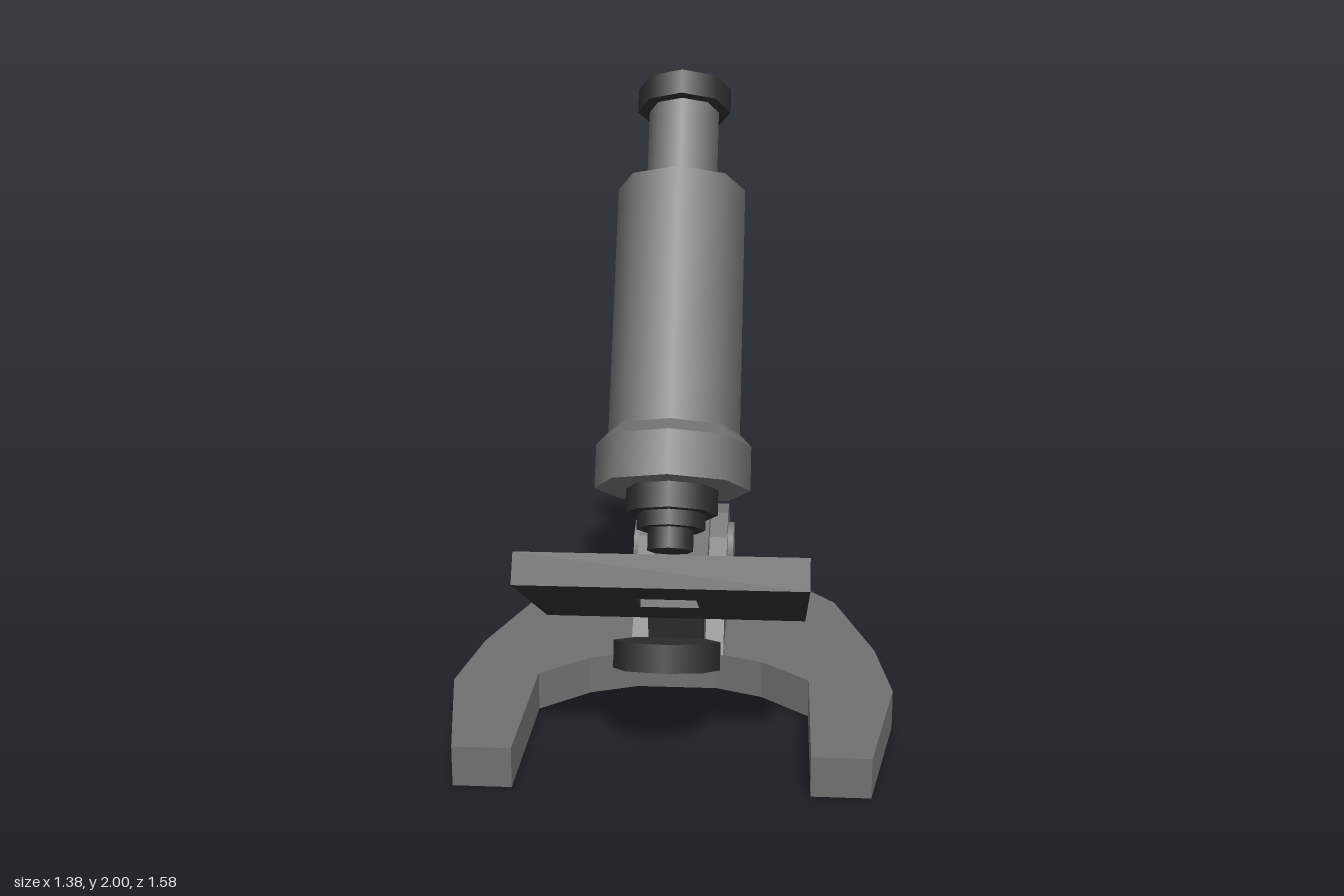
import * as THREE from 'three';

const gray = new THREE.MeshStandardMaterial({ color: 0x707070 });
gray.name = 'grayEnamel';
const dark = new THREE.MeshStandardMaterial({ color: 0x2e2e2e });
dark.name = 'darkMetal';

const TILT = -0.487; // lean of the tube and stage

function add(parent, name, geometry, material) {
  const mesh = new THREE.Mesh(geometry, material);
  mesh.name = name;
  parent.add(mesh);
  return mesh;
}

const shapeOf = (points) => new THREE.Shape(points.map(([a, b]) => new THREE.Vector2(a, b)));
const extrude = (shape, depth) => new THREE.ExtrudeGeometry(shape, { depth, bevelEnabled: false });

// Side profile in [z, y], given a width across x and centred on x
function sideSlab(points, width, x = 0) {
  return extrude(shapeOf(points), width).rotateY(-Math.PI / 2).translate(x + width / 2, 0, 0);
}

// Eight-sided bar lying across x
function crossBar(radius, width, y, z) {
  return new THREE.CylinderGeometry(radius, radius, width, 8).rotateZ(Math.PI / 2).translate(0, y, z);
}

export function createModel() {
  const model = new THREE.Group();
  model.name = 'microscope';

  // Horseshoe base, half outline in [x, z] mirrored
  const half = [
    [0.155, -0.755], [0.358, -0.654], [0.53, -0.43], [0.65, 0], [0.69, 0.32],
    [0.603, 0.785], [0.43, 0.785], [0.43, 0.255], [0.28, 0.12], [0.13, 0.06],
  ];
  const outline = [[0, -0.79], ...half, ...half.slice().reverse().map(([x, z]) => [-x, z])];
  add(model, 'base', extrude(shapeOf(outline.map(([x, z]) => [x, -z])), 0.122).rotateX(-Math.PI / 2), gray);

  // Curved limb rising from the base
  add(model, 'limb', sideSlab([
    [0.07, 0.12], [0.11, 0.27], [0.085, 0.355], [-0.05, 0.355], [-0.19, 0.42], [-0.34, 0.5],
    [-0.4, 0.625], [-0.424, 0.77], [-0.41, 0.96], [-0.36, 1.06], [-0.4, 1.22], [-0.53, 1.19],
    [-0.6, 1.11], [-0.647, 1.02], [-0.668, 0.77], [-0.63, 0.535], [-0.525, 0.335], [-0.4, 0.12],
  ], 0.18), gray);
  add(model, 'stageMount', sideSlab([
    [0.065, 0.122], [0.1, 0.27], [0.1, 0.355], [0.13, 0.28], [0.095, 0.122],
  ], 0.18), dark);

  // Pivot brackets either side of the limb, with a bolt through them
  for (const side of [1, -1]) {
    add(model, side > 0 ? 'leftBracket' : 'rightBracket', sideSlab([
      [0.07, 0.12], [-0.08, 0.27], [-0.25, 0.42], [-0.34, 0.48], [-0.43, 0.485],
      [-0.505, 0.42], [-0.54, 0.28], [-0.75, 0.12],
    ], 0.06, side * 0.122), gray);
  }
  add(model, 'pivotBolt', crossBar(0.11, 0.345, 0.33, -0.36), gray);

  // Focus block and knobs
  add(model, 'focusBlock', sideSlab([
    [-0.2, 1.51], [-0.265, 1.475], [-0.46, 1.37], [-0.47, 1.2], [-0.38, 1.0],
    [-0.3, 0.94], [-0.06, 1.066], [0.0, 1.1],
  ], 0.18), gray);
  add(model, 'coarseKnob', crossBar(0.163, 0.334, 1.27, -0.47), dark);
  add(model, 'coarseKnobCaps', crossBar(0.11, 0.37, 1.27, -0.47), gray);
  add(model, 'fineKnob', crossBar(0.108, 0.334, 0.985, -0.297), dark);
  add(model, 'fineKnobCaps', crossBar(0.052, 0.37, 0.985, -0.297), gray);

  // Leaning tube: [name, bottom, top, bottom radius, top radius, colour]
  const tube = new THREE.Group();
  tube.name = 'opticalTube';
  tube.position.set(0, 0.753, 0.286);
  tube.rotation.x = TILT;
  model.add(tube);
  const stages = [
    ['objectiveTip', -0.19, -0.1, 0.07, 0.07, dark],
    ['objectiveBarrel', -0.125, -0.05, 0.105, 0.105, dark],
    ['nosepiece', -0.078, 0.02, 0.142, 0.142, dark],
    ['collar', 0, 0.138, 0.24, 0.24, gray],
    ['collarShoulder', 0.138, 0.177, 0.24, 0.204, gray],
    ['mainTube', 0.15, 0.98, 0.204, 0.204, gray],
    ['drawTube', 0.95, 1.26, 0.113, 0.113, gray],
    ['eyepiece', 1.25, 1.33, 0.151, 0.151, dark],
  ];
  for (const [name, y0, y1, r0, r1, material] of stages) {
    const geometry = new THREE.CylinderGeometry(r1, r0, y1 - y0, 8).translate(0, (y0 + y1) / 2, 0);
    add(tube, name, geometry, material);
  }

  // Tilted stage with a square light hole
  const plate = shapeOf([[-0.418, 0], [0.418, 0], [0.418, 0.745], [-0.418, 0.745]]);
  plate.holes.push(shapeOf([[-0.09, 0.295], [-0.09, 0.49], [0.09, 0.49], [0.09, 0.295]]));
  const stage = add(model, 'stage', extrude(plate, 0.095).rotateX(Math.PI / 2), dark);
  stage.position.set(0, 0.355, 0.085);
  stage.rotation.x = TILT;

  // Mirror disc on its arm
  const mirror = add(model, 'mirror', new THREE.CylinderGeometry(0.16, 0.16, 0.083, 8), dark);
  mirror.position.set(0, 0.31, 0.522);
  const arm = add(model, 'mirrorArm', new THREE.BoxGeometry(0.07, 0.055, 0.34), dark);
  arm.position.set(0, 0.205, 0.23);
  mirror.rotation.x = arm.rotation.x = -0.32;

  return model;
}
